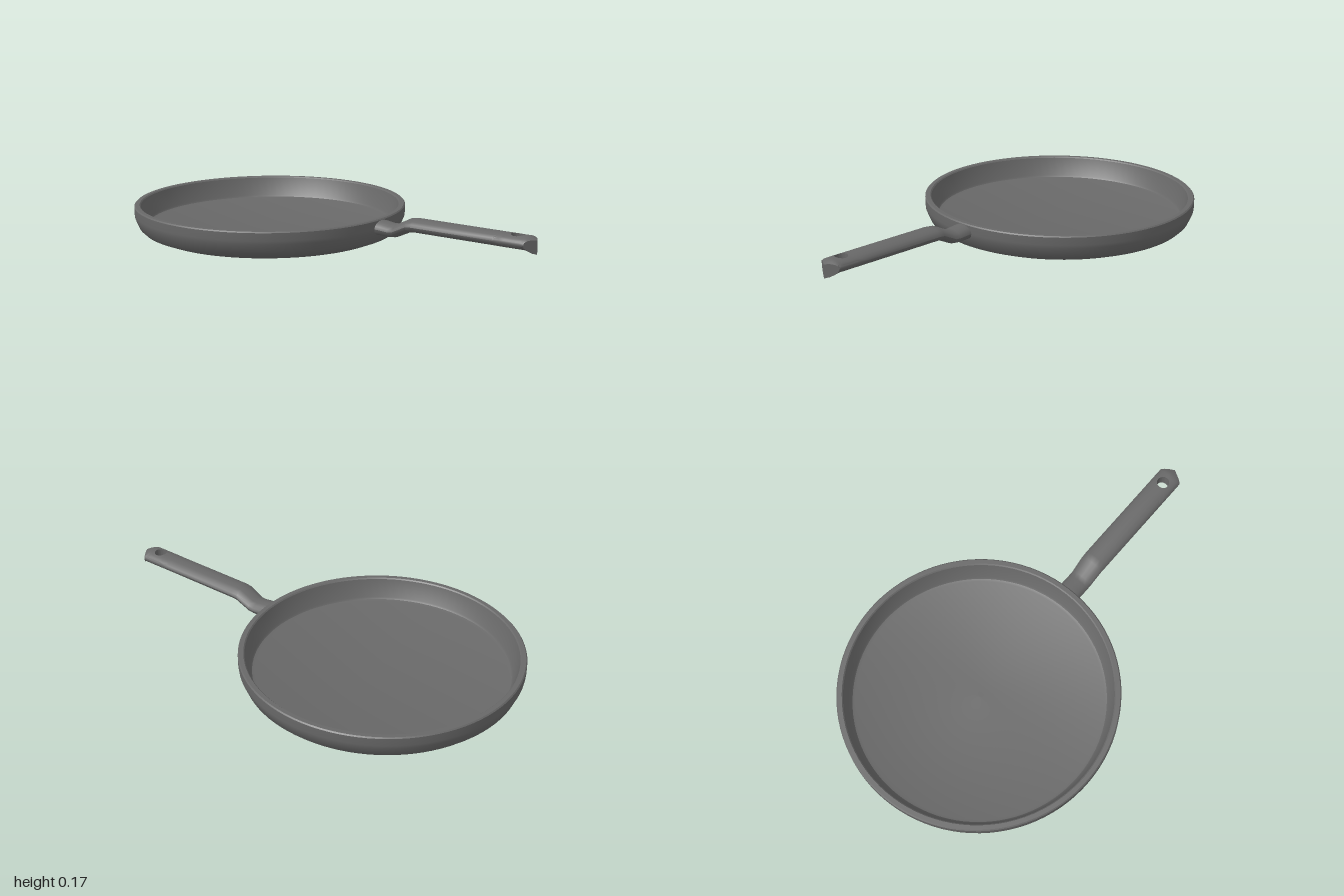
import * as THREE from 'three';
import { mergeGeometries, toCreasedNormals } from 'three/addons/utils/BufferGeometryUtils.js';

const PAN_Z = -0.38;
const HALF_W = 0.057, HALF_H = 0.03, HANDLE_Y = 0.145;
const HOLE_Z = 0.91, HOLE_R = 0.028, END_START = 0.82, SHOULDER = 0.965;

// Surface through rows of [x, y, z] points
function skin(rows) {
  const cols = rows[0].length, index = [];
  for (let i = 0; i < rows.length - 1; i++) {
    for (let j = 0; j < cols - 1; j++) {
      const a = i * cols + j, b = a + 1, c = a + cols, d = c + 1;
      index.push(a, b, c, b, d, c);
    }
  }
  const g = new THREE.BufferGeometry();
  g.setAttribute('position', new THREE.Float32BufferAttribute(rows.flat(2), 3));
  g.setIndex(index);
  return g;
}

// Cooking vessel: outside, rim, inner wall and floor in one turned profile
function panGeometry() {
  const profile = [
    [0, 0.003], [0.42, 0.008], [0.535, 0.015], [0.58, 0.033], [0.6, 0.052],
    [0.618, 0.095], [0.62, 0.11], [0.62, 0.145], [0.615, 0.15], [0.596, 0.15],
    [0.591, 0.145], [0.567, 0.062], [0.561, 0.054], [0.548, 0.05], [0, 0.05],
  ].map(([r, y]) => new THREE.Vector2(r, y));
  return toCreasedNormals(new THREE.LatheGeometry(profile, 96), 0.45);
}

// Point on the upper (side 1) or lower (side -1) half of the handle end; u runs across from -1 to 1
function endPoint(u, z, side) {
  const droop = 0.015 * Math.max(0, (z - SHOULDER) / (1 - SHOULDER));
  const a = u * Math.PI / 2;
  return [HALF_W * Math.sin(a), HANDLE_Y - droop + side * HALF_H * Math.cos(a), z];
}

function handleGeometry() {
  // Oval grip: z, centre height, half width, half height
  const stations = [
    [0.215, 0.112, 0.053, 0.034], [0.26, 0.11, 0.053, 0.033], [0.3, 0.107, 0.053, 0.03],
    [0.325, 0.109, 0.053, 0.029], [0.395, 0.142, 0.056, 0.03],
    [0.425, HANDLE_Y, HALF_W, HALF_H], [END_START, HANDLE_Y, HALF_W, HALF_H],
  ];
  const grip = skin(stations.map(([z, y, w, h]) => Array.from({ length: 17 }, (_, k) => {
    const a = k / 16 * Math.PI * 2;
    return [w * Math.cos(a), y + h * Math.sin(a), z];
  })));

  // Walk round the square u, v outline of the end, starting at its near right corner
  const outline = [];
  const corners = [[1, -1], [1, 1], [-1, 1], [-1, -1], [1, -1]];
  for (let s = 0; s < 4; s++) {
    for (let k = 0; k < 8; k++) {
      outline.push(corners[s].map((c, n) => c + (corners[s + 1][n] - c) * k / 8));
    }
  }
  outline.push([1, -1]);

  // Rings spreading from the hanging hole to the pointed outline
  const rings = (side) => [0, 0.2, 0.4, 0.6, 0.8, 1].map((t) => outline.map(([u, v]) => {
    const angle = Math.atan2(v, u);
    const holeU = Math.asin(HOLE_R * Math.cos(angle) / HALF_W) * 2 / Math.PI;
    const holeZ = HOLE_Z + HOLE_R * Math.sin(angle);
    const tipZ = 1 - (1 - SHOULDER) * Math.abs(Math.sin(u * Math.PI / 2));
    const outerZ = v < 0 ? HOLE_Z + v * (HOLE_Z - END_START) : HOLE_Z + v * (tipZ - HOLE_Z);
    return endPoint(holeU + (u - holeU) * t, holeZ + (outerZ - holeZ) * t, side);
  }));
  const top = rings(1), bottom = rings(-1);
  const tip = (rows) => rows[rows.length - 1].slice(8, 17);
  const parts = [
    grip,
    skin(top),
    skin([...bottom].reverse()),
    skin([bottom[0], top[0]]),
    skin([tip(top), tip(bottom)]),
  ];
  return toCreasedNormals(mergeGeometries(parts), 0.6);
}

export function createModel() {
  const group = new THREE.Group();
  group.name = 'fryingPan';
  const iron = new THREE.MeshStandardMaterial({ color: 0x686868 });
  iron.name = 'dark grey iron';

  const pan = new THREE.Mesh(panGeometry(), iron);
  pan.name = 'pan';
  pan.position.z = PAN_Z;
  const handle = new THREE.Mesh(handleGeometry(), iron);
  handle.name = 'handle';
  group.add(pan, handle);
  return group;
}
